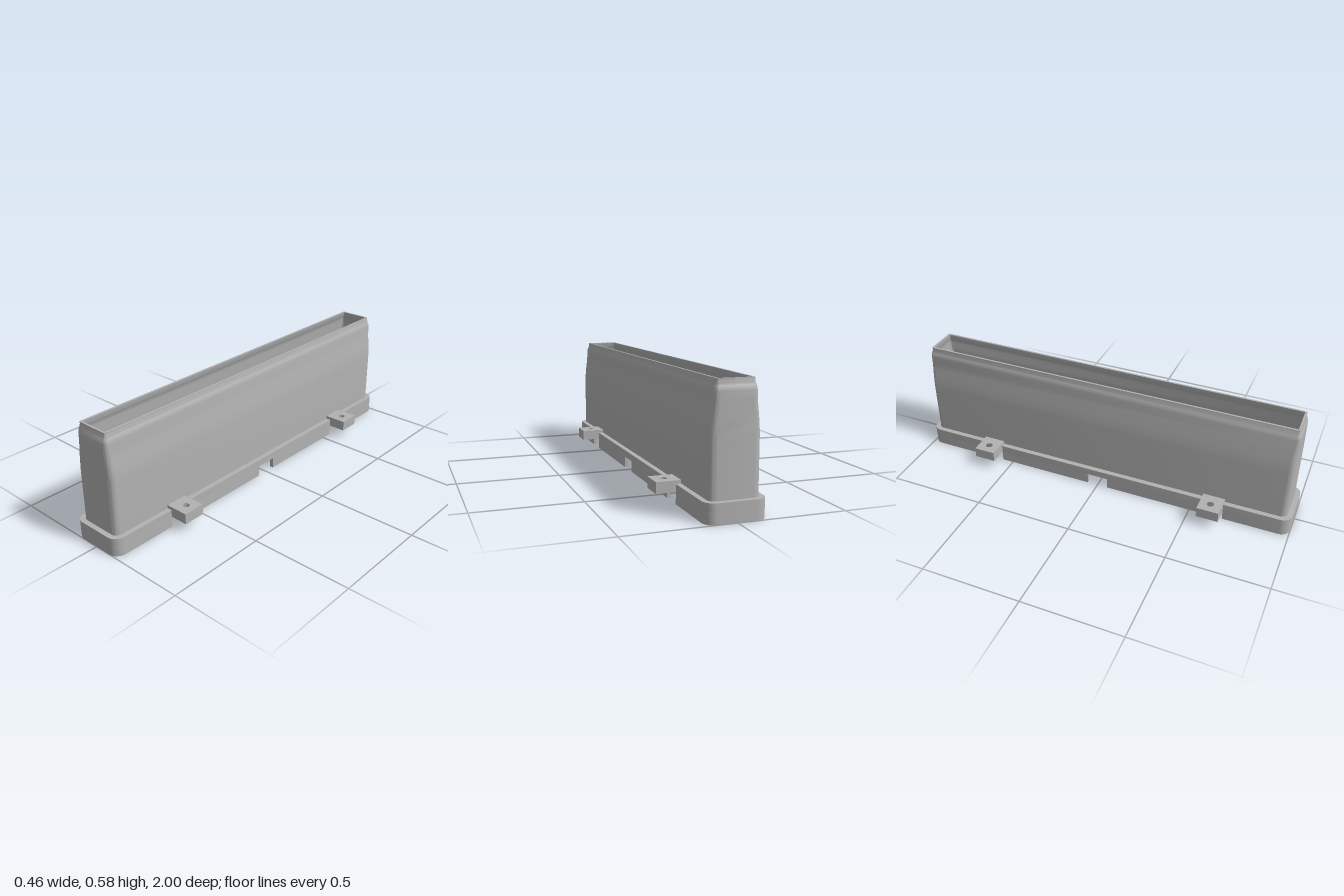
import * as THREE from 'three';
import { toCreasedNormals } from 'three/addons/utils/BufferGeometryUtils.js';

const ARC = 6; // segments per rounded corner

// Counter-clockwise rounded rectangle, as [a, b] pairs
function roundedLoop(hx, hz, r) {
  const pts = [];
  [[1, 1], [-1, 1], [-1, -1], [1, -1]].forEach(([sx, sz], q) => {
    for (let i = 0; i <= ARC; i++) {
      const t = (q + i / ARC) * Math.PI / 2;
      pts.push([sx * (hx - r) + r * Math.cos(t), sz * (hz - r) + r * Math.sin(t)]);
    }
  });
  return pts;
}

const toVectors = (loop) => loop.map(([a, b]) => new THREE.Vector2(a, b));

// Skin through rounded rectangles given as [y, halfX, halfZ, radius]
function loft(sections) {
  const pos = [], index = [], n = 4 * (ARC + 1);
  for (const [y, hx, hz, r] of sections) {
    for (const [x, z] of roundedLoop(hx, hz, r)) pos.push(x, y, z);
  }
  for (let s = 0; s < sections.length - 1; s++) {
    for (let i = 0; i < n; i++) {
      const a = s * n + i, b = s * n + (i + 1) % n;
      index.push(a, a + n, b, b, a + n, b + n);
    }
  }
  const geo = new THREE.BufferGeometry();
  geo.setAttribute('position', new THREE.Float32BufferAttribute(pos, 3));
  geo.setIndex(index);
  return toCreasedNormals(geo, 0.6);
}

// Plan outline (x, z) raised from y0 to y1
function plate(shape, y0, y1) {
  const geo = new THREE.ExtrudeGeometry(shape, { depth: y1 - y0, bevelEnabled: false, curveSegments: 24 });
  geo.rotateX(Math.PI / 2);
  geo.translate(0, y1, 0);
  return toCreasedNormals(geo, 0.6);
}

export function createModel() {
  const group = new THREE.Group();
  const grey = new THREE.MeshStandardMaterial({ color: 0xb2b2b2 });
  grey.name = 'grey plastic';
  const add = (name, geo) => {
    const mesh = new THREE.Mesh(geo, grey);
    mesh.name = name;
    group.add(mesh);
    return mesh;
  };

  const NOTCH = 0.055, FLANGE = 0.09, WALL = 0.01;
  const HX = 0.138, HZ = 1, R = 0.05, RIM = 0.018;

  // Hollow duct: outer skin up, over the lip, inner skin down
  const outer = [
    [FLANGE - 0.01, 0.113, 0.975, 0.03],
    [0.35, 0.113, 0.975, 0.03],
    [0.38, 0.1115, 0.975, 0.03],
    [0.42, 0.1075, 0.975, 0.028],
    [0.46, 0.102, 0.975, 0.026],
    [0.495, 0.098, 0.975, 0.024],
    [0.53, 0.096, 0.975, 0.022],
    [0.541, 0.0945, 0.9735, 0.02],
    [0.551, 0.0905, 0.9695, 0.016],
    [0.56, 0.0865, 0.9665, 0.012],
    [0.57, 0.0845, 0.965, 0.01],
    [0.58, 0.084, 0.965, 0.01],
  ];
  const inner = outer.map(([y, x, z, r], i) =>
    [i ? y : NOTCH, x - WALL, z - WALL, Math.max(r - WALL, 0.002)]).reverse();
  add('ductBody', loft([...outer, ...inner]));

  // Flange closing the gap between duct and skirt
  const flange = new THREE.Shape(toVectors(roundedLoop(HX, HZ, R)));
  flange.holes.push(new THREE.Path(toVectors(roundedLoop(0.1035, 0.9655, 0.02)).reverse()));
  add('baseFlange', plate(flange, NOTCH, FLANGE));

  // Skirt below the flange: U-shaped ends and straight side runs between notches
  const END = 0.67;
  for (const s of [1, -1]) {
    const half = (loop) => loop.slice(0, 2 * (ARC + 1)).map(([x, z]) => [x, s * z]);
    const out = half(roundedLoop(HX, HZ, R));
    const inn = half(roundedLoop(HX - RIM, HZ - RIM, R - RIM)).reverse();
    const u = [[HX, s * END], ...out, [-HX, s * END], [-HX + RIM, s * END], ...inn, [HX - RIM, s * END]];
    add(s > 0 ? 'frontSkirt' : 'backSkirt', plate(new THREE.Shape(toVectors(u)), 0, NOTCH));

    for (const side of [1, -1]) {
      const run = add('sideSkirt', new THREE.BoxGeometry(RIM, NOTCH, 0.505));
      run.position.set(side * (HX - RIM / 2), NOTCH / 2, s * 0.3075);
    }
  }

  // Four mounting lugs with screw holes
  for (const side of [1, -1]) {
    for (const z of [0.615, -0.615]) {
      const x0 = side * 0.112, x1 = side * 0.229;
      const lug = new THREE.Shape(toVectors([[x0, z - 0.055], [x1, z - 0.055], [x1, z + 0.055], [x0, z + 0.055]]));
      lug.holes.push(new THREE.Path().absarc(side * 0.176, z, 0.017, 0, Math.PI * 2, true));
      add('mountingLug', plate(lug, NOTCH - 0.001, 0.106));
    }
  }
  return group;
}
